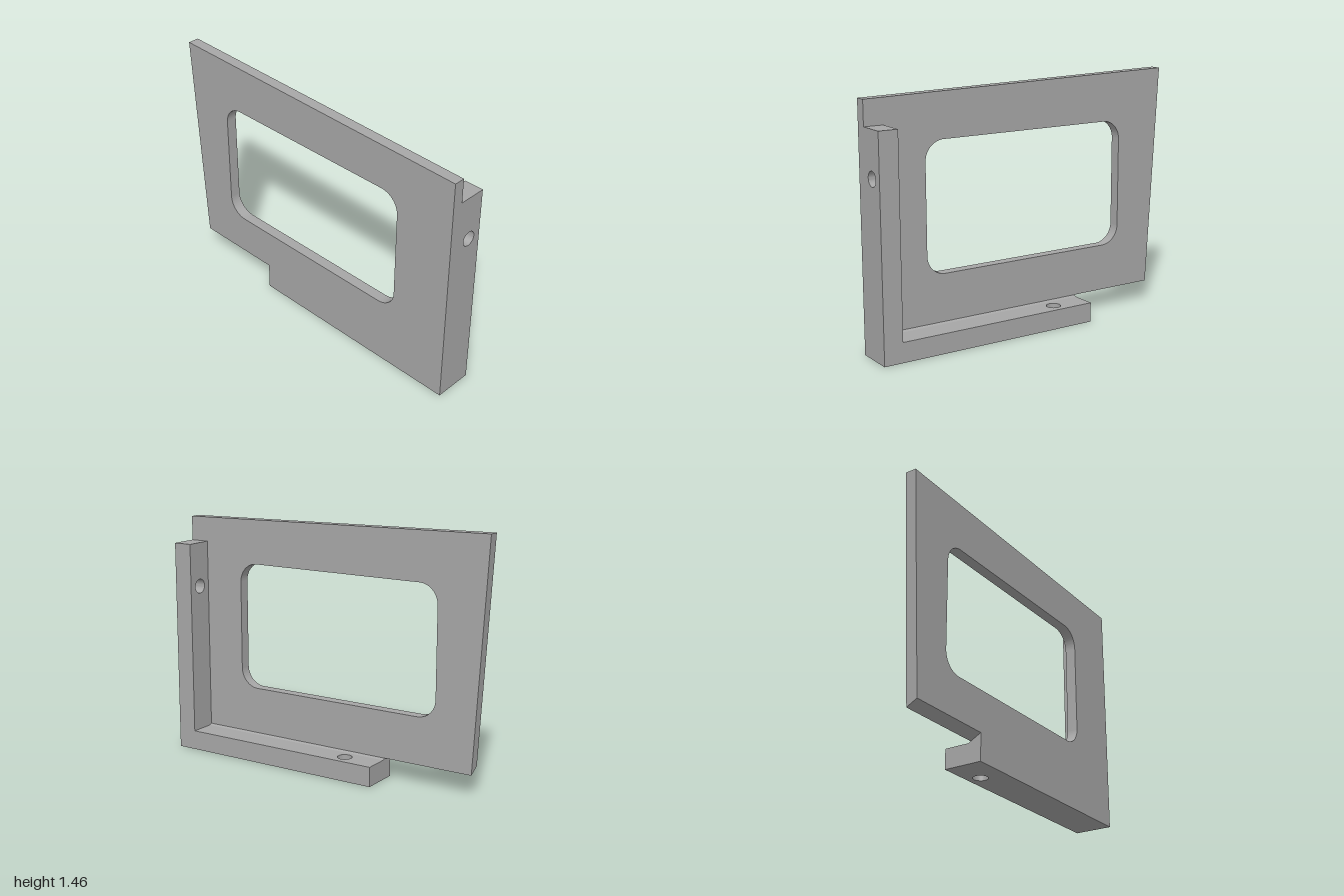
import * as THREE from 'three';
import { toCreasedNormals } from 'three/addons/utils/BufferGeometryUtils.js';

const FRONT = 0.115, PLATE_BACK = 0.05, BACK = -0.115;
const NOTCH_X = -0.375, POST_X = 0.885, BAR_TOP = 0.117;
const HOLE_R = 0.043;

const outline = (points) => new THREE.Shape(points.map(([x, y]) => new THREE.Vector2(x, y)));

function roundedWindow(x0, y0, x1, y1, r) {
  const p = new THREE.Path();
  p.absarc(x1 - r, y1 - r, r, 0, Math.PI / 2);
  p.absarc(x0 + r, y1 - r, r, Math.PI / 2, Math.PI);
  p.absarc(x0 + r, y0 + r, r, Math.PI, Math.PI * 1.5);
  p.absarc(x1 - r, y0 + r, r, Math.PI * 1.5, Math.PI * 2);
  p.closePath();
  return p;
}

function roundHole(x, y) {
  const p = new THREE.Path();
  p.absarc(x, y, HOLE_R, 0, Math.PI * 2);
  return p;
}

const extrude = (shape, depth) =>
  new THREE.ExtrudeGeometry(shape, { depth, bevelEnabled: false, curveSegments: 16 });

export function createModel() {
  const group = new THREE.Group();
  const grey = new THREE.MeshStandardMaterial({ color: 0xa6a6a6 });
  grey.name = 'plain grey';

  function add(name, geometry) {
    geometry.deleteAttribute('normal');
    const mesh = new THREE.Mesh(toCreasedNormals(geometry, 0.5), grey);
    mesh.name = name;
    group.add(mesh);
  }

  // Face plate with window and stepped lower edge
  const plate = outline([
    [NOTCH_X, 0], [1, 0], [1, 1.42], [-1, 1.46], [-0.925, 0.16], [NOTCH_X, 0.16],
  ]);
  plate.holes.push(roundedWindow(-0.695, 0.405, 0.635, 1.165, 0.115));
  const plateGeo = extrude(plate, FRONT - PLATE_BACK).translate(0, 0, PLATE_BACK);
  // Slope the raised lower edge down towards the back
  const pos = plateGeo.attributes.position;
  for (let i = 0; i < pos.count; i++) {
    if (Math.abs(pos.getY(i) - 0.16) < 0.001 && pos.getZ(i) < PLATE_BACK + 0.001) pos.setY(i, 0.125);
  }
  add('facePlate', plateGeo);

  // Side post: profile in (-z, y), extruded along x, with a cross hole
  const post = outline([[-PLATE_BACK, 0], [-BACK, 0], [-BACK, 1.275], [-PLATE_BACK, 1.275]]);
  post.holes.push(roundHole(0.03, 1.01));
  add('sidePost', extrude(post, 1 - POST_X).rotateY(Math.PI / 2).translate(POST_X, 0, 0));

  // Bottom bar: plan in (x, -z), extruded upwards, with a vertical hole
  const bar = outline([[NOTCH_X, -PLATE_BACK], [POST_X, -PLATE_BACK], [POST_X, -BACK], [NOTCH_X, -BACK]]);
  bar.holes.push(roundHole(-0.16, 0.035));
  add('bottomBar', extrude(bar, BAR_TOP).rotateX(-Math.PI / 2));

  // Small sloped strip between bar and plate
  const strip = outline([[-PLATE_BACK, BAR_TOP], [-0.035, BAR_TOP], [-PLATE_BACK, 0.125]]);
  add('slopedStrip', extrude(strip, POST_X - NOTCH_X).rotateY(Math.PI / 2).translate(NOTCH_X, 0, 0));

  return group;
}
